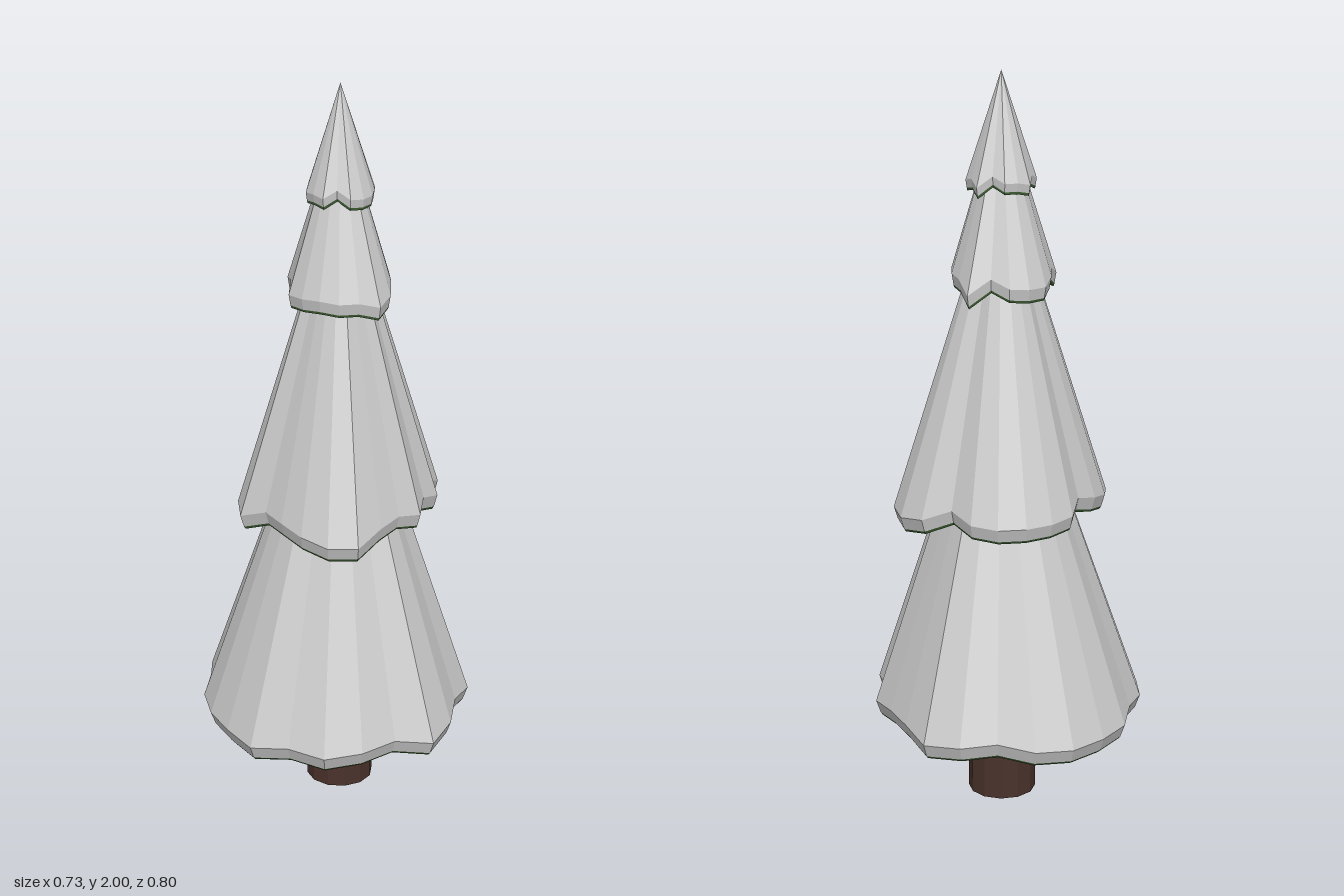
import * as THREE from 'three';

const AXIS_X = 0.025;
const snow = new THREE.MeshStandardMaterial({ color: 0xcccccc, flatShading: true, side: THREE.DoubleSide });
const needles = new THREE.MeshStandardMaterial({ color: 0x3f6034, flatShading: true, side: THREE.DoubleSide });
const bark = new THREE.MeshStandardMaterial({ color: 0x4a322b, flatShading: true });
const cutWood = new THREE.MeshStandardMaterial({ color: 0xcccccc });

// Ragged rims: branch reach in hundredths at equal angles, from the back round by the left.
// Shorter branches droop less: rim height = low + (reach - radius) * lift.
const tiers = [
  { name: 'bottomTier', apex: 1.37, low: 0.265, reach: 0.4, lift: 0.5, band: 0.036, radii: [
    40, 39, 36, 38, 39, 35.2, 34, 35.2, 32.4, 35.8, 34, 37.3, 40, 36.3, 38.4, 40, 38.2, 40.7, 39.1, 38.6, 38, 36.3, 38.8, 39.4] },
  { name: 'lowerMiddleTier', apex: 1.76, low: 0.838, reach: 0.305, lift: 0.75, band: 0.034, radii: [
    28, 28.4, 28.5, 27.6, 24.7, 28.7, 30.2, 29.5, 24.5, 26.4, 23.9, 26.3, 24.7, 26.4, 30.5, 30.4, 28.3, 26.2, 25.2, 29, 27.7, 25.9, 23.8, 27.2] },
  { name: 'upperMiddleTier', apex: 1.93, low: 1.442, reach: 0.165, lift: 1.2, band: 0.03, radii: [
    15.4, 15, 13.2, 16.6, 14, 13.6, 13, 13.5, 15.2, 16.5, 15.2, 15.2, 14.8, 15, 15.2, 13, 14, 15.4] },
  { name: 'topTier', apex: 2, low: 1.715, reach: 0.095, lift: 1.3, band: 0.022, radii: [
    9, 9, 7.7, 10, 8.7, 9.3, 8.9, 9.4, 9.5, 9.3, 7.7, 9.3, 8.9, 9.2, 8.3, 9.6] },
];

// Joins triangles, given as lists of points, into one mesh.
function triangleMesh(name, points, material) {
  const geometry = new THREE.BufferGeometry().setFromPoints(points);
  geometry.computeVertexNormals();
  const mesh = new THREE.Mesh(geometry, material);
  mesh.name = name;
  return mesh;
}

// Strip of quads between an upper and a lower rim, facing outwards.
function strip(upper, lower) {
  return upper.flatMap((a, i) => {
    const j = (i + 1) % upper.length;
    return [a, upper[j], lower[i], upper[j], lower[j], lower[i]];
  });
}

// Fan from a rim to a tip; facing outwards, or inwards for the underside.
function fan(rim, tip, inwards) {
  return rim.flatMap((p, i) => {
    const q = rim[(i + 1) % rim.length];
    return inwards ? [tip, p, q] : [tip, q, p];
  });
}

function makeTier({ name, apex, low, reach, lift, band, radii }) {
  const top = radii.map((hundredths, i) => {
    const r = hundredths / 100;
    const angle = (i / radii.length) * Math.PI * 2;
    return new THREE.Vector3(r * Math.sin(angle), low + (reach - r) * lift, -r * Math.cos(angle));
  });
  // Lower rims tuck inwards
  const lowered = (drop, scale) => top.map(p => new THREE.Vector3(p.x * scale, p.y - drop, p.z * scale));
  const snowEdge = lowered(band, 0.965);
  const greenEdge = lowered(band + 0.007, 0.95);
  // The underside is a shallow hollow
  const hollow = new THREE.Vector3(0, low - band + reach * 0.36, 0);

  const group = new THREE.Group();
  group.name = name;
  group.add(
    triangleMesh('snowCover', [...fan(top, new THREE.Vector3(0, apex, 0), false), ...strip(top, snowEdge)], snow),
    triangleMesh('greenUnderside', [...strip(snowEdge, greenEdge), ...fan(greenEdge, hollow, true)], needles),
  );
  return group;
}

export function createModel() {
  const tree = new THREE.Group();
  tree.name = 'snowyTree';

  // Trunk, running up into the hollow of the bottom tier
  const trunk = new THREE.Mesh(new THREE.CylinderGeometry(0.092, 0.092, 0.4, 12, 1, true), bark);
  trunk.name = 'trunk';
  trunk.position.y = 0.2;
  const base = new THREE.Mesh(new THREE.CircleGeometry(0.092, 12), cutWood);
  base.name = 'trunkBase';
  base.rotation.x = Math.PI / 2;
  tree.add(trunk, base, ...tiers.map(makeTier));

  // The trunk stands a little off centre so that the crown is centred
  tree.children.forEach(part => { part.position.x = AXIS_X; });
  return tree;
}
